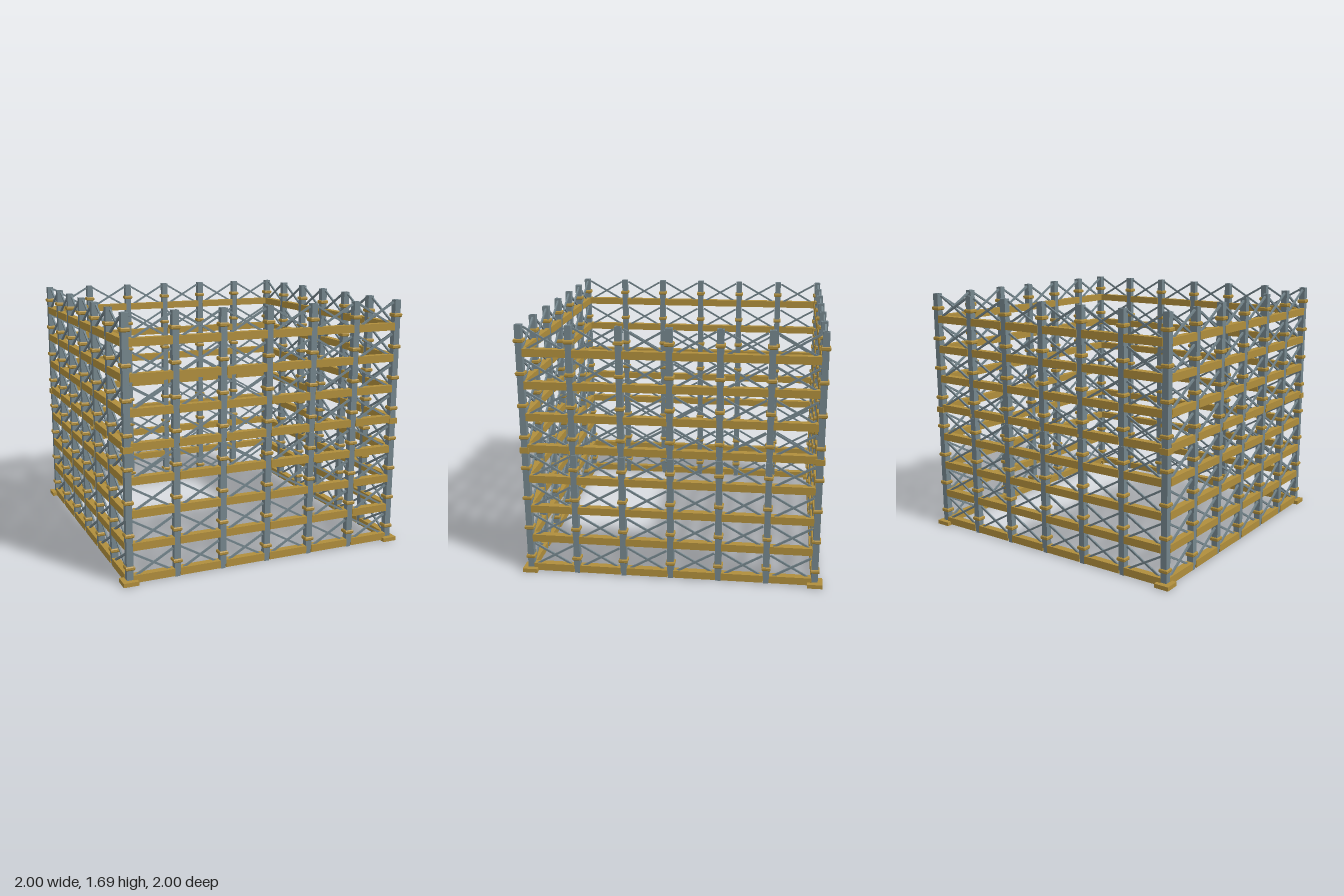
import * as THREE from 'three';

const R = 0.947;            // wall distance from the centre
const BAYS = 6, LEVELS = 8;
const BAY = (2 * R) / BAYS;
const STEP = 0.2115;        // level height
const STAGE = 0.845;        // height of one column section
const COL = 0.043;          // column width
const PIN = 0.034;          // width of the joint pin under each section

export function createModel() {
  const steel = new THREE.MeshStandardMaterial({ color: 0x74858c, flatShading: true });
  steel.name = 'steel';
  const ochre = new THREE.MeshStandardMaterial({ color: 0xb08e3c, flatShading: true });
  ochre.name = 'ochre';

  const square = (Type, w) => {
    const h = w / 2;
    return new Type([[-h, -h], [h, -h], [h, h], [-h, h]].map(p => new THREE.Vector2(...p)));
  };

  // hollow square tube standing on its lower end
  const profile = square(THREE.Shape, COL);
  profile.holes.push(square(THREE.Path, 0.026));
  const tube = new THREE.ExtrudeGeometry(profile, { depth: STAGE - 0.03, bevelEnabled: false });
  tube.rotateX(-Math.PI / 2);

  // square collar with chamfered edges
  const s = Math.SQRT1_2;
  const collar = new THREE.LatheGeometry(
    [[0.04, -0.013], [0.05, -0.013], [0.06, -0.007], [0.06, 0.007], [0.05, 0.013], [0.04, 0.013]]
      .map(([w, y]) => new THREE.Vector2(w * s, y)), 4, Math.PI / 4);

  const pin = new THREE.BoxGeometry(PIN, 0.03, PIN);
  const beam = new THREE.BoxGeometry(BAY - COL + 0.004, 0.05, 0.048);
  const basePlate = new THREE.BoxGeometry(0.1, 0.027, 0.1);
  const jointPlate = new THREE.BoxGeometry(0.06, 0.038, 0.06);
  const dx = 0.262, dy = 0.15;
  const brace = new THREE.BoxGeometry(Math.hypot(dx, dy), 0.013, 0.011);

  const add = (parent, name, geometry, material, x, y, z = 0) => {
    const mesh = new THREE.Mesh(geometry, material);
    mesh.name = name;
    mesh.position.set(x, y, z);
    parent.add(mesh);
    return mesh;
  };

  // one column: two stacked tubes with pins and collars
  const addColumn = (parent, x) => {
    const column = new THREE.Group();
    column.name = 'column';
    column.position.x = x;
    for (let k = 0; k < 2; k++) {
      add(column, 'columnPin', pin, steel, 0, k * STAGE + 0.015);
      add(column, 'columnTube', tube, steel, 0, k * STAGE + 0.03);
    }
    for (let l = 0; l < LEVELS; l++) add(column, 'collar', collar, ochre, 0, 0.108 + l * STEP);
    parent.add(column);
  };

  // four equal walls, each owning its first corner
  const model = new THREE.Group();
  model.name = 'scaffoldTower';
  ['frontWall', 'leftWall', 'backWall', 'rightWall'].forEach((name, w) => {
    const turn = new THREE.Group();
    turn.name = name;
    turn.rotation.y = w * Math.PI / 2;
    const wall = new THREE.Group();
    wall.name = 'wallFrame';
    wall.position.z = R;
    turn.add(wall);
    model.add(turn);

    add(wall, 'basePlate', basePlate, ochre, -0.95, 0.0145, 0.95 - R);
    add(wall, 'jointPlate', jointPlate, ochre, -R, 0.865);

    for (let b = 0; b < BAYS; b++) {
      const x = -R + b * BAY, mid = x + BAY / 2;
      addColumn(wall, x);
      for (let l = 0; l < LEVELS; l++) {
        const y = 0.033 + l * STEP;
        add(wall, 'beam', beam, ochre, mid, y);
        // crossed diagonal braces
        for (const d of [-1, 1]) {
          const bar = add(wall, 'brace', brace, steel, mid, y + 0.085, d * 0.006);
          bar.rotation.z = d * Math.atan2(dy, dx);
        }
      }
    }
  });
  return model;
}
